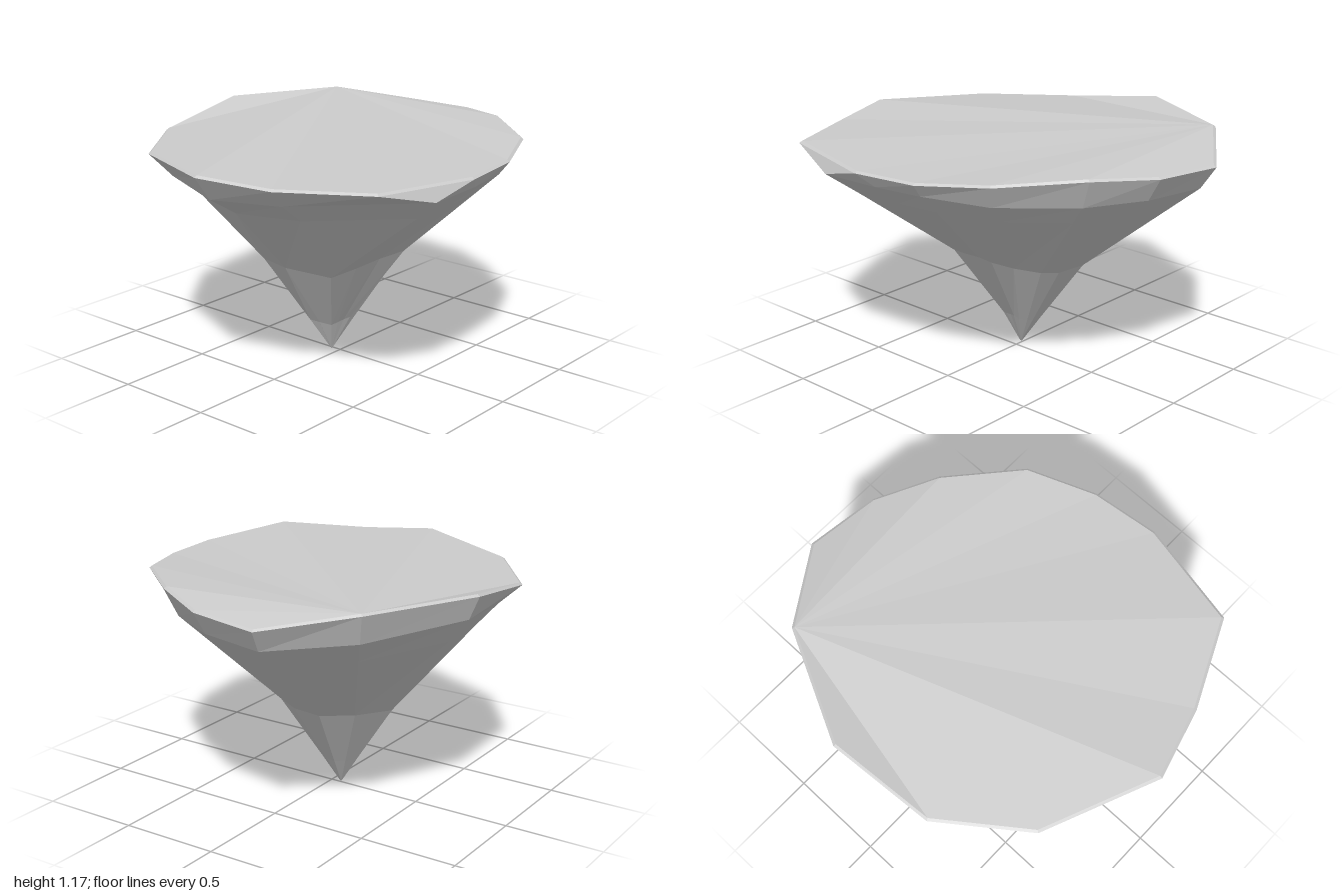
import * as THREE from 'three';

// Cross-sections as [x, y, z], clockwise from the back when seen from above
const rim = [
  [-0.26, 1.11, -1], [0.1, 1.125, -0.95], [0.4, 1.15, -0.79], [0.73, 1.14, -0.51], [0.87, 1.115, -0.18],
  [0.91, 1.11, 0.16], [0.79, 1.125, 0.69], [0.36, 1.11, 0.89], [0, 1.13, 0.99], [-0.56, 1.1, 0.75],
  [-0.86, 1.1, 0.35], [-0.91, 1.175, -0.18], [-0.64, 1.175, -0.73],
];
const shoulder = [
  [-0.24, 0.99, -0.93], [0.09, 1, -0.88], [0.37, 1, -0.73], [0.68, 1.02, -0.47], [0.82, 1.04, -0.17],
  [0.86, 1.04, 0.08], [0.88, 1.04, 0.4], [0.34, 1.01, 0.8], [0, 1, 0.9], [-0.45, 0.99, 0.7],
  [-0.74, 0.98, 0.34], [-0.86, 1.05, -0.18], [-0.6, 1.02, -0.68],
];
const waist = [
  [-0.14, 0.48, -0.32], [0.02, 0.48, -0.3], [0.12, 0.5, -0.27], [0.24, 0.54, -0.2], [0.31, 0.57, -0.12],
  [0.26, 0.55, 0.01], [0.22, 0.525, 0.14], [0.17, 0.5, 0.27], [-0.1, 0.5, 0.3], [-0.28, 0.5, 0.26],
  [-0.34, 0.49, 0.12], [-0.39, 0.48, -0.06], [-0.28, 0.48, -0.22],
];
const tip = [-0.05, 0, 0.01];

const mix = (a, b, t) => a.map((v, k) => v + (b[k] - v) * t);

// Flat-shaded mesh from a list of triangles
function facetMesh(name, triangles) {
  const geometry = new THREE.BufferGeometry();
  geometry.setAttribute('position', new THREE.Float32BufferAttribute(triangles.flat(2), 3));
  geometry.computeVertexNormals();
  const material = new THREE.MeshStandardMaterial({ color: 0xcccccc, flatShading: true });
  const mesh = new THREE.Mesh(geometry, material);
  mesh.name = name;
  return mesh;
}

// Band of facets between each section and the one below it
function loft(sections) {
  const triangles = [];
  for (let s = 0; s < sections.length - 1; s++) {
    const a = sections[s], b = sections[s + 1];
    a.forEach((p, i) => {
      const j = (i + 1) % a.length;
      triangles.push([p, a[j], b[j]], [p, b[j], b[i]]);
    });
  }
  return triangles;
}

export function createModel() {
  const group = new THREE.Group();
  group.name = 'floatingRock';

  // Rim edge has a narrow bevel up to the top surface
  const topEdge = rim.map(([x, y, z]) => [x * 0.986, y, z * 0.986]);
  const outerEdge = rim.map(([x, y, z]) => [x, y - 0.01, z]);
  group.add(facetMesh('rimBevel', loft([topEdge, outerEdge])));

  // Nearly level top surface, fanned from its high back corner
  const high = topEdge.length - 1;
  const fan = [];
  for (let i = 0; i < high - 1; i++) fan.push([topEdge[high], topEdge[i + 1], topEdge[i]]);
  group.add(facetMesh('topSurface', fan));

  // Rocky underside: belly is hollowed on the front, foot on the front and left
  const belly = shoulder.map((p, i) => {
    const [x, y, z] = mix(p, waist[i], 0.22);
    return [x, y, z > 0.5 ? z * 0.93 : z];
  });
  const foot = waist.map((p, i) => {
    const [x, y, z] = mix(tip, p, 0.32);
    const pull = i >= 4 && i <= 8 ? 0.82 : 1;
    return [tip[0] + (x - tip[0]) * pull, y, tip[2] + (z - tip[2]) * pull];
  });
  const point = waist.map((p) => mix(tip, p, 0.02)).map(([x, , z]) => [x, 0.006, z]);
  group.add(facetMesh('rockUnderside', loft([outerEdge, shoulder, belly, waist, foot, point])));

  // Blunt end of the rock
  group.add(facetMesh('rockTip', point.map((p, i) => [p, point[(i + 1) % point.length], tip])));

  return group;
}
